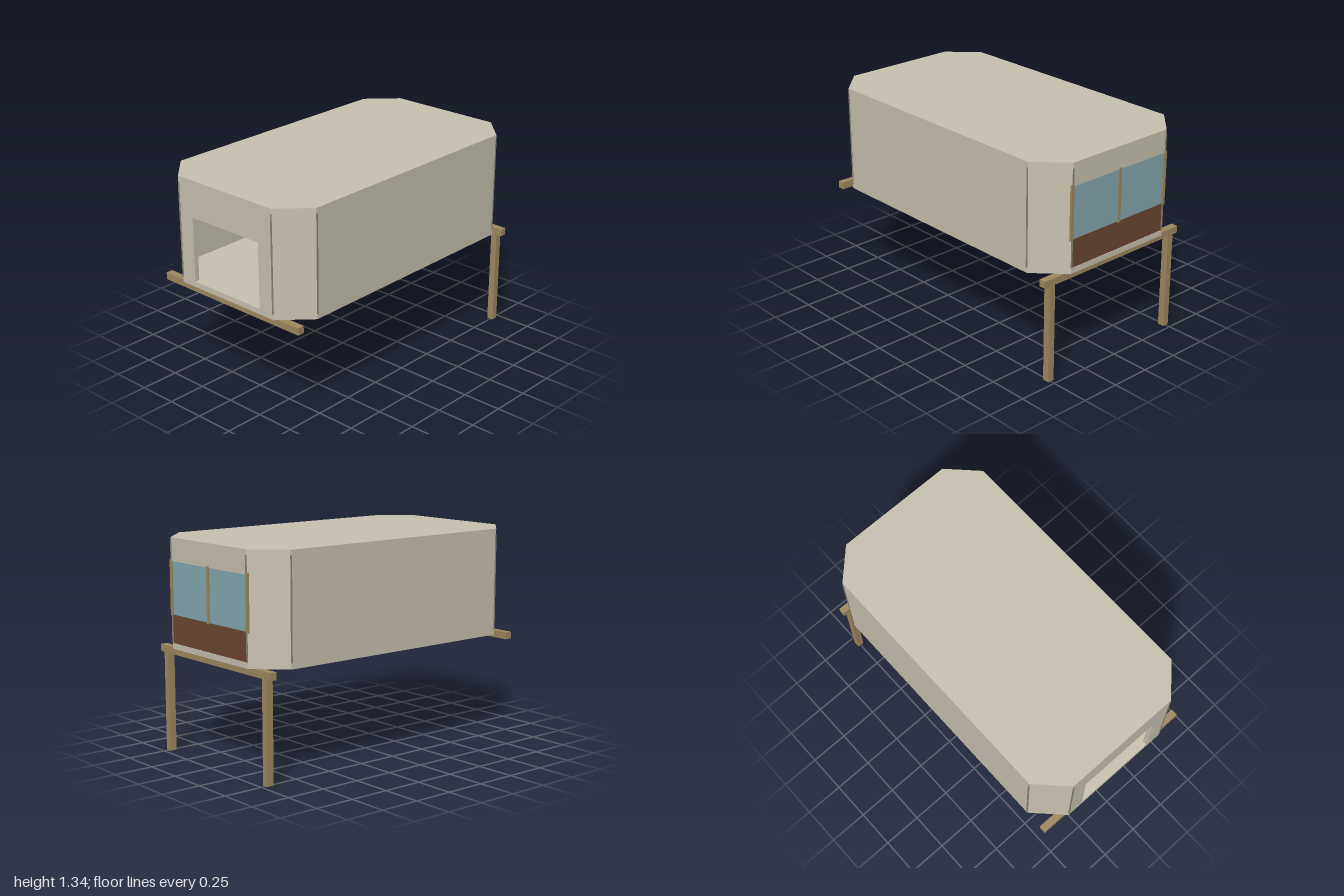
import * as THREE from 'three';

const mat = (name, color) => {
  const m = new THREE.MeshStandardMaterial({ color });
  m.name = name;
  return m;
};

export function createModel() {
  const shell = mat('shell beige', 0xc8c2b0);
  const seam = mat('seam grey', 0x8a8578);
  const wood = mat('timber', 0x9f8a60);
  const glass = mat('blue glass', 0x84a8b0);
  const brown = mat('dark brown', 0x6c4730);
  const cushion = mat('cushion blue', 0x84a8b0);

  const root = new THREE.Group();
  const add = (parent, name, geo, material, x = 0, y = 0, z = 0) => {
    const m = new THREE.Mesh(geo, material);
    m.name = name;
    m.position.set(x, y, z);
    parent.add(m);
    return m;
  };
  // Box given by its minimum and maximum corners
  const span = (parent, name, material, a, b) => add(parent, name,
    new THREE.BoxGeometry(b[0] - a[0], b[1] - a[1], b[2] - a[2]), material,
    (a[0] + b[0]) / 2, (a[1] + b[1]) / 2, (a[2] + b[2]) / 2);

  const X = 0.997, Z = 0.555, CX = 0.82, CZ = 0.38; // plan and chamfer corners
  const Y0 = 0.665, FLOOR = 0.70, CEIL = 1.31, Y1 = 1.343, T = 0.03;
  const plan = [[CX, Z], [X, CZ], [X, -CZ], [CX, -Z], [-CX, -Z], [-X, -CZ], [-X, CZ], [-CX, Z]];

  // Floor and roof slabs with cut corners
  const slab = (name, y0, y1) => {
    const s = new THREE.Shape(plan.map(([x, z]) => new THREE.Vector2(x, z)));
    const g = new THREE.ExtrudeGeometry(s, { depth: y1 - y0, bevelEnabled: false });
    g.rotateX(-Math.PI / 2);
    add(root, name, g, shell, 0, y0, 0);
  };
  slab('floor', Y0, FLOOR);
  slab('roof', CEIL, Y1);

  // Long side walls and angled corner walls; the ends are built separately
  plan.forEach(([x0, z0], i) => {
    const [x1, z1] = plan[(i + 1) % 8];
    if (x0 !== x1) {
      const dx = x1 - x0, dz = z1 - z0, len = Math.hypot(dx, dz);
      const nx = -dz / len, nz = dx / len;
      const s = Math.sign(nx * (x0 + x1) + nz * (z0 + z1)); // point outwards
      const wall = add(root, dz ? 'cornerWall' : 'sideWall',
        new THREE.BoxGeometry(len, CEIL - FLOOR, T), shell,
        (x0 + x1) / 2 - s * nx * T / 2, (FLOOR + CEIL) / 2, (z0 + z1) / 2 - s * nz * T / 2);
      wall.rotation.y = Math.atan2(s * nx, s * nz);
    }
    // Upright seam at each corner
    add(root, 'cornerSeam', new THREE.BoxGeometry(0.01, CEIL - FLOOR, 0.01), seam,
      x0 - Math.sign(x0) * 0.003, (FLOOR + CEIL) / 2, z0 - Math.sign(z0) * 0.003);
  });

  // Door end
  const DZ = 0.27, DY = 1.11;
  for (const s of [-1, 1]) {
    span(root, 'doorJamb', shell,
      [-X, FLOOR, s < 0 ? -CZ : DZ], [-X + T, CEIL, s < 0 ? -DZ : CZ]);
  }
  span(root, 'doorLintel', shell, [-X, DY, -DZ], [-X + T, CEIL, DZ]);

  // Window end
  span(root, 'lowerPanel', brown, [X - T, FLOOR, -CZ], [X - 0.003, 0.875, CZ]);
  span(root, 'windowPane', glass, [0.984, 0.875, -CZ], [0.992, 1.2, CZ]);
  span(root, 'upperPanel', shell, [X - T, 1.2, -CZ], [X, CEIL, CZ]);
  for (const z of [-CZ, 0, CZ]) {
    span(root, 'windowPost', wood, [0.98, 0.87, z - 0.01], [1, 1.21, z + 0.01]);
  }

  // Cross beams under both ends, with legs under the window end only
  for (const x of [-0.955, 0.947]) {
    span(root, 'crossBeam', wood, [x - 0.022, 0.62, -Z], [x + 0.022, Y0, Z]);
  }
  for (const z of [-0.497, 0.497]) {
    span(root, 'leg', wood, [0.925, 0, z - 0.021], [0.969, 0.62, z + 0.021]);
  }

  // Armchair facing the door: slotted side panels, seat and leaning back
  const chair = new THREE.Group();
  chair.name = 'armchair';
  chair.position.set(-0.7, FLOOR, 0.32);
  root.add(chair);
  const side = new THREE.Shape([[-0.065, 0], [0.05, 0], [0.065, 0.15], [0.045, 0.15],
    [0.03, 0.09], [-0.05, 0.08], [-0.068, 0.065]].map(p => new THREE.Vector2(...p)));
  side.holes.push(new THREE.Path([[-0.045, 0.012], [-0.045, 0.026], [0.03, 0.026], [0.03, 0.012]]
    .map(p => new THREE.Vector2(...p))));
  const sideGeo = new THREE.ExtrudeGeometry(side, { depth: 0.015, bevelEnabled: false });
  for (const z of [-0.0725, 0.0575]) add(chair, 'chairSide', sideGeo, brown, 0, 0, z);
  span(chair, 'seat', cushion, [-0.06, 0.04, -0.0575], [0.04, 0.06, 0.0575]);
  const back = add(chair, 'backCushion', new THREE.BoxGeometry(0.015, 0.1, 0.115), cushion, 0.04, 0.1, 0);
  const frame = add(chair, 'backFrame', new THREE.BoxGeometry(0.008, 0.11, 0.115), brown, 0.052, 0.1, 0);
  back.rotation.z = frame.rotation.z = -0.15;

  return root;
}
